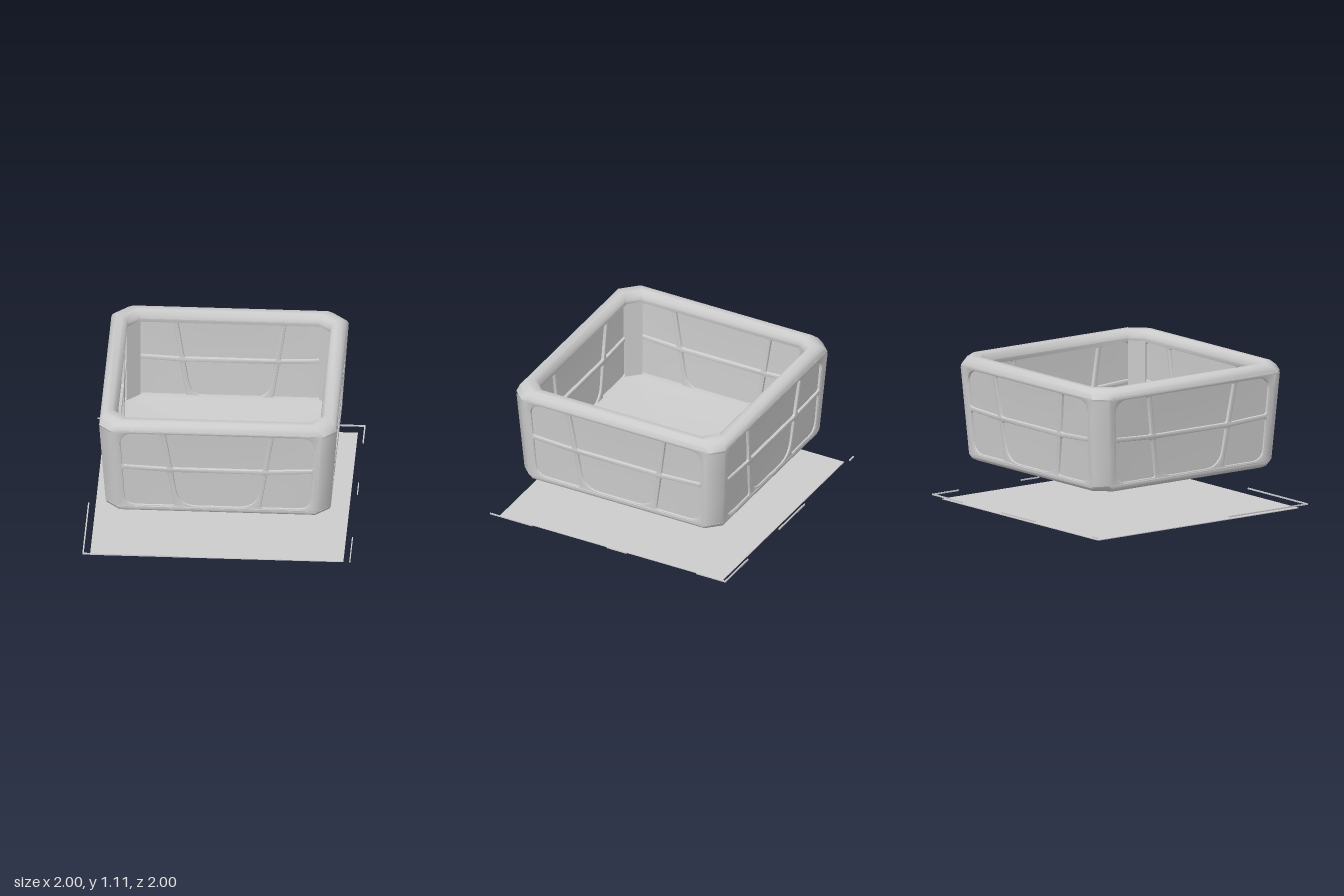
import * as THREE from 'three';
import { toCreasedNormals } from 'three/addons/utils/BufferGeometryUtils.js';

const mat = new THREE.MeshStandardMaterial({ color: 0xcccccc });
const sheetMat = new THREE.MeshStandardMaterial({ color: 0xcccccc, side: THREE.DoubleSide });

// Walls flare outwards on the outside and stand upright on the inside
const wallR = (y) => 0.84 + 0.068 * (y - 0.37);
const INNER = 0.76, THICK = 0.125;

function add(parent, name, geo, material = mat) {
  const mesh = new THREE.Mesh(geo, material);
  mesh.name = name;
  parent.add(mesh);
  return mesh;
}

// Skin a stack of closed rows, optionally joining the last row to the first
function loft(rows, joinEnds = false) {
  const n = rows[0].length, m = rows.length, index = [];
  for (let j = 0; j < (joinEnds ? m : m - 1); j++) {
    for (let i = 0; i < n; i++) {
      const k = (i + 1) % n, up = (j + 1) % m;
      const a = j * n + i, b = up * n + i, c = up * n + k, d = j * n + k;
      index.push(a, b, d, b, c, d);
    }
  }
  const geo = new THREE.BufferGeometry();
  geo.setAttribute('position', new THREE.Float32BufferAttribute(rows.flat(2), 3));
  geo.setIndex(index);
  return toCreasedNormals(geo, 0.9);
}

// Square outline with cut corners
function cutSquare(r, y, cut) {
  const pts = [];
  for (let q = 0; q < 4; q++) {
    const c = Math.round(Math.cos(q * Math.PI / 2)), s = Math.round(Math.sin(q * Math.PI / 2));
    for (const [x, z] of [[r, r - cut], [r - cut, r]]) pts.push([x * c - z * s, y, x * s + z * c]);
  }
  return pts;
}

// Polygon with rounded corners; each point is [x, y, radius]
function roundedPath(points, target = new THREE.Path()) {
  const n = points.length;
  points.forEach(([x, y, r], i) => {
    const p = new THREE.Vector2(x, y);
    const toward = ([qx, qy]) => new THREE.Vector2(qx, qy).sub(p).setLength(r).add(p);
    const a = toward(points[(i + n - 1) % n]), b = toward(points[(i + 1) % n]);
    if (i === 0) target.moveTo(a.x, a.y); else target.lineTo(a.x, a.y);
    target.quadraticCurveTo(x, y, b.x, b.y);
  });
  target.closePath();
  return target;
}

// Fit a flat panel, whose outer face is z = 0, into the tapering wall
function lean(geo) {
  const p = geo.attributes.position;
  for (let i = 0; i < p.count; i++) {
    const r = wallR(p.getY(i));
    p.setZ(i, r + p.getZ(i) * (r - INNER) / THICK);
  }
  geo.computeVertexNormals();
  return geo;
}

function panel(shape, outer, depth, bevel) {
  const geo = new THREE.ExtrudeGeometry(shape, {
    depth: depth - 2 * bevel, bevelThickness: bevel, bevelSize: bevel, bevelOffset: -bevel,
    bevelSegments: 2, curveSegments: 6,
  });
  geo.translate(0, 0, outer - depth + bevel);
  return toCreasedNormals(lean(geo), 0.6);
}

// Window frame of one wall
function frameGeometry() {
  const s = roundedPath([[-0.75, 0.342, 0.04], [0.75, 0.342, 0.04], [0.795, 1.055, 0.04], [-0.795, 1.055, 0.04]], new THREE.Shape());
  s.holes.push(roundedPath([[-0.695, 0.38, 0.1], [0.695, 0.38, 0.1], [0.732, 1.02, 0.12], [-0.732, 1.02, 0.12]]));
  return panel(s, 0, THICK, 0.012);
}

// Lattice of slanted uprights and a sagging crossbar, made as six openings
function ribGeometry() {
  const s = roundedPath([[-0.72, 0.36, 0.09], [0.72, 0.36, 0.09], [0.76, 1.05, 0.11], [-0.76, 1.05, 0.11]], new THREE.Shape());
  const upright = (y) => 0.305 + 0.155 * (y - 0.38);
  const side = (y) => 0.69 + 0.06 * (y - 0.38);
  const h = 0.018, rise = 0.018;
  for (const [y0, y1, lower] of [[0.385, 0.683, true], [0.717, 1.02, false]]) {
    const a = upright(y0), b = upright(y1);
    const r0 = lower ? 0.13 : 0.02, r1 = 0.02;
    s.holes.push(roundedPath([[-a + h, y0, r0], [a - h, y0, r0], [b - h, y1, r1], [-b + h, y1, r1]]));
    for (const m of [-1, 1]) {
      s.holes.push(roundedPath([
        [m * (a + h), y0, 0.02], [m * side(y0), y0 + (lower ? 0 : rise), lower ? 0.09 : 0.02],
        [m * side(y1), y1 + (lower ? rise : 0), lower ? 0.02 : 0.1], [m * (b + h), y1, 0.02],
      ]));
    }
  }
  return panel(s, -0.004, 0.117, 0.008);
}

// Softly dished sheet closing the window at a given depth
function paneGeometry(depth, dish) {
  const geo = new THREE.PlaneGeometry(1.48, 0.67, 12, 6);
  const p = geo.attributes.position;
  for (let i = 0; i < p.count; i++) {
    const u = p.getX(i) / 0.74, v = p.getY(i) / 0.335;
    p.setZ(i, -depth - dish * (1 - u * u) * (1 - v * v));
  }
  geo.translate(0, 0.7, 0);
  return lean(geo);
}

// Corner post with cut outer and inner corners
function postGeometry() {
  const rows = [0.37, 0.6, 0.85, 1.03].map((y) => {
    const r = wallR(y), k = r - 0.085, t = r - 0.12, j = 0.665;
    return [[r, t], [r, k], [k, r], [t, r], [j, INNER], [INNER, j]].map(([x, z]) => [x, y, z]);
  });
  return loft(rows);
}

export function createModel() {
  const model = new THREE.Group();
  model.name = 'basketOnMat';

  const basket = new THREE.Group();
  basket.name = 'basket';
  model.add(basket);

  // Rounded top rim, its corners cut more deeply towards the top: [half width, y, cut]
  const rim = [
    [0.88, 1.02, 0.085], [0.886, 1.04, 0.09], [0.874, 1.08, 0.11], [0.845, 1.11, 0.12],
    [0.795, 1.11, 0.11], [0.767, 1.085, 0.09], [0.757, 1.05, 0.088], [0.762, 1.02, 0.088],
  ];
  add(basket, 'topRim', loft(rim.map((row) => cutSquare(...row)), true));

  // Shallow tray forming the underside, lower edge and floor
  const tray = [
    [0.001, 0.32, 0], [0.805, 0.32, 0.11], [0.83, 0.335, 0.1], [0.841, 0.37, 0.085],
    [0.836, 0.38, 0.085], [0.78, 0.4, 0.085], [0.73, 0.39, 0.085], [0.001, 0.385, 0],
  ];
  add(basket, 'floorTray', loft(tray.map((row) => cutSquare(...row))));

  // Four matching walls and corner posts
  const frame = frameGeometry(), ribs = ribGeometry(), post = postGeometry();
  const outerPane = paneGeometry(0.024, 0.008), innerPane = paneGeometry(0.1, -0.008);
  for (let q = 0; q < 4; q++) {
    const wall = new THREE.Group();
    wall.name = ['front', 'left', 'back', 'right'][q] + 'Wall';
    wall.rotation.y = q * Math.PI / 2;
    add(wall, 'windowFrame', frame);
    add(wall, 'ribs', ribs);
    add(wall, 'outerPane', outerPane, sheetMat);
    add(wall, 'innerPane', innerPane, sheetMat);
    add(wall, 'cornerPost', post);
    basket.add(wall);
  }

  // Thin mat below the basket
  const groundMat = add(model, 'groundMat', new THREE.BoxGeometry(1.89, 0.006, 1.89));
  groundMat.position.y = 0.003;

  // Broken border strips around the mat: [x0, x1, z0, z1]
  const strips = [
    [-1, -0.28, 0.985, 0.995], [-1, -0.99, 0.25, 0.98], [-1, -0.94, -1, -0.99],
    [-0.24, 0.16, -1, -0.99], [0.64, 1, -1, -0.99], [0.99, 1, -1, -0.75],
    [0.992, 1, -0.16, 0.01], [0.992, 1, 0.64, 1],
  ];
  for (const [x0, x1, z0, z1] of strips) {
    const strip = add(model, 'borderStrip', new THREE.BoxGeometry(x1 - x0, 0.01, z1 - z0));
    strip.position.set((x0 + x1) / 2, 0.036, (z0 + z1) / 2);
  }
  return model;
}
